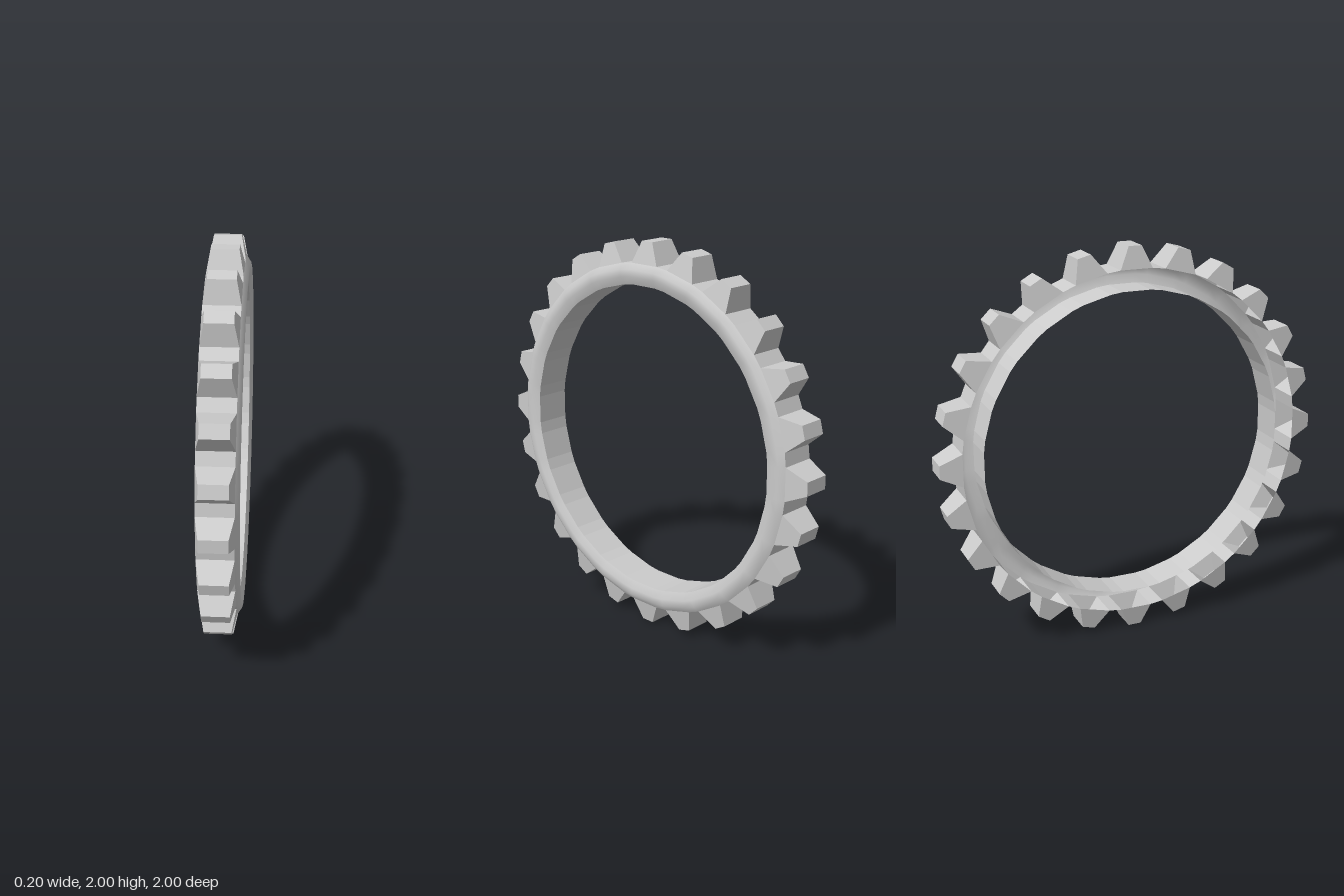
import * as THREE from 'three';

const TEETH = 24;
const PITCH = (Math.PI * 2) / TEETH;
const ROOT_R = 0.895;
const BASE_HALF = 0.083;
const BASE_ANGLE = Math.asin(BASE_HALF / ROOT_R);
const X_BACK = -0.1, X_FRONT = 0.077;

const material = new THREE.MeshStandardMaterial({ color: 0xcccccc, side: THREE.DoubleSide });
const flatMaterial = material.clone();
flatMaterial.flatShading = true;

// Point at distance r from the x axis, angle a measured from +y towards +z
const polar = (x, r, a) => [x, r * Math.cos(a), r * Math.sin(a)];

// Flat-sided geometry from four-cornered faces
function fromQuads(quads) {
  const pos = [];
  for (const [a, b, c, d] of quads) pos.push(...a, ...b, ...c, ...a, ...c, ...d);
  const g = new THREE.BufferGeometry();
  g.setAttribute('position', new THREE.Float32BufferAttribute(pos, 3));
  g.computeVertexNormals();
  return g;
}

// Closed band swept around the x axis through a profile of [x, radius],
// with columns lined up on the edges of the teeth
function sweptBand(profile) {
  const cols = TEETH * 2;
  const pos = [], index = [];
  profile.forEach(([x, r], row) => {
    for (let i = 0; i < cols; i++) {
      const a = Math.floor(i / 2) * PITCH + (i % 2 ? BASE_ANGLE : -BASE_ANGLE);
      pos.push(...polar(x, r, a));
      if (row === 0) continue;
      const n = (i + 1) % cols, p = (row - 1) * cols, q = row * cols;
      index.push(p + i, p + n, q + n, p + i, q + n, q + i);
    }
  });
  const g = new THREE.BufferGeometry();
  g.setAttribute('position', new THREE.Float32BufferAttribute(pos, 3));
  g.setIndex(index);
  g.computeVertexNormals();
  return g;
}

// One tapered hollow tooth pointing up, open underneath
function toothGeometry() {
  const yBase = ROOT_R * Math.cos(BASE_ANGLE);
  const base = (sx, sz) => [sx > 0 ? X_FRONT : X_BACK, yBase, sz * BASE_HALF];
  const tip = (sx, sz) => [sx > 0 ? 0.055 : -0.08, 1, sz * 0.034];
  return fromQuads([
    [tip(-1, -1), tip(-1, 1), tip(1, 1), tip(1, -1)],
    [base(-1, 1), base(1, 1), tip(1, 1), tip(-1, 1)],
    [base(1, -1), base(-1, -1), tip(-1, -1), tip(1, -1)],
    [base(1, -1), tip(1, -1), tip(1, 1), base(1, 1)],
    [base(-1, 1), tip(-1, 1), tip(-1, -1), base(-1, -1)],
  ]);
}

// Narrow strip of rim between two neighbouring teeth
function rootGeometry() {
  const a = BASE_ANGLE, b = PITCH - BASE_ANGLE;
  return fromQuads([[
    polar(X_BACK, ROOT_R, a), polar(X_BACK, ROOT_R, b),
    polar(X_FRONT, ROOT_R, b), polar(X_FRONT, ROOT_R, a),
  ]]);
}

export function createModel() {
  const model = new THREE.Group();
  model.name = 'ringGear';

  const add = (parent, name, geometry, mat) => {
    const mesh = new THREE.Mesh(geometry, mat);
    mesh.name = name;
    parent.add(mesh);
    return mesh;
  };

  // Rounded raised lip on the +x side
  add(model, 'sideLip', sweptBand([
    [X_FRONT, ROOT_R], [0.097, 0.865], [0.097, 0.83], [0.08, 0.79],
  ]), material);

  // Faceted inner wall; the -x side of the ring stays open
  add(model, 'innerWall', sweptBand([[0.08, 0.79], [X_BACK, 0.79]]), flatMaterial);

  // Teeth and the gaps between them
  const toothRing = new THREE.Group();
  toothRing.name = 'toothRing';
  const tooth = toothGeometry(), root = rootGeometry();
  for (let i = 0; i < TEETH; i++) {
    add(toothRing, 'tooth', tooth, flatMaterial).rotation.x = i * PITCH;
    add(toothRing, 'toothGap', root, flatMaterial).rotation.x = i * PITCH;
  }
  model.add(toothRing);

  model.position.y = 1;
  const root3d = new THREE.Group();
  root3d.name = 'gear';
  root3d.add(model);
  return root3d;
}
